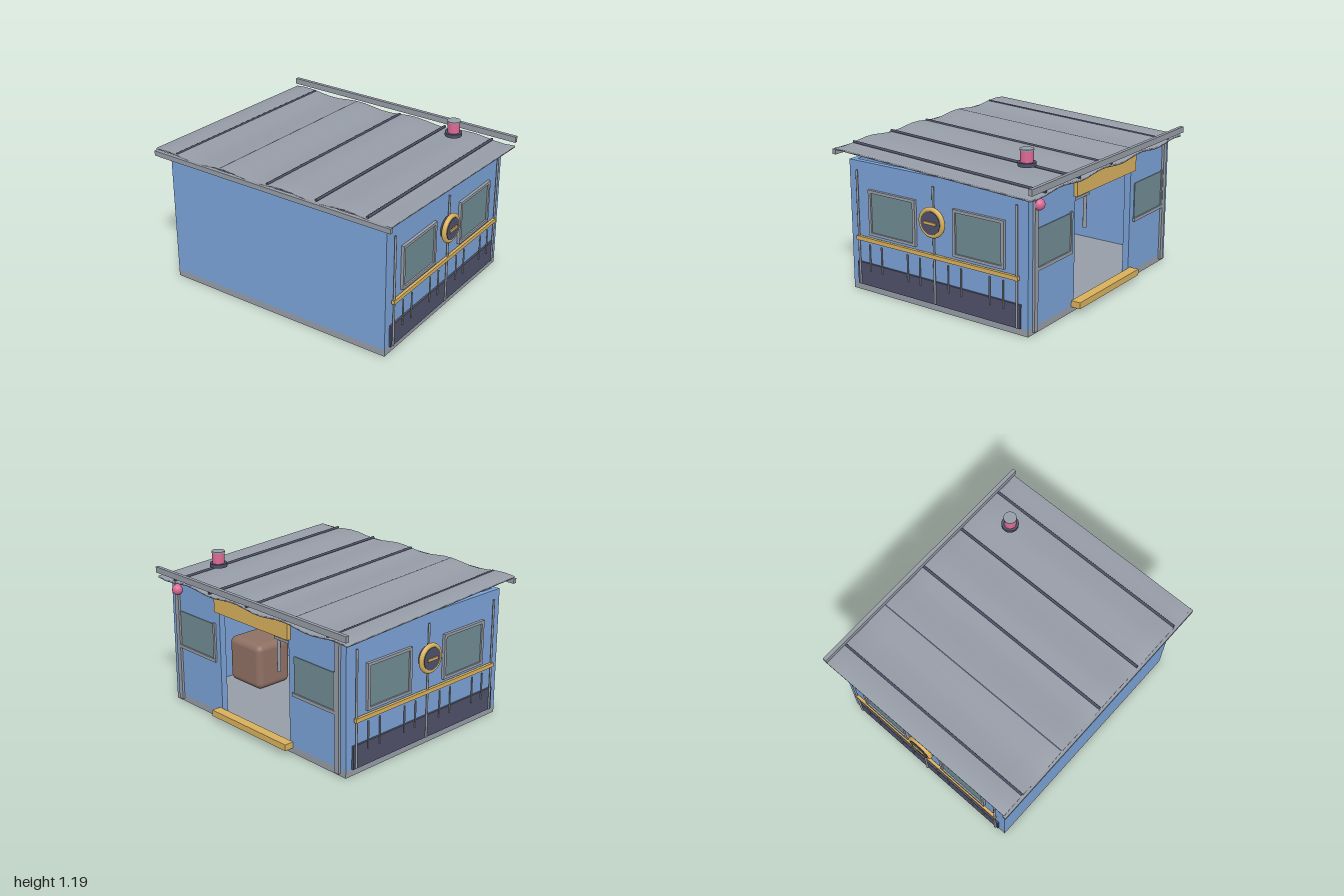
import * as THREE from 'three';
import { mergeVertices } from 'three/addons/utils/BufferGeometryUtils.js';
import { RoundedBoxGeometry } from 'three/addons/geometries/RoundedBoxGeometry.js';

const mat = (color) => new THREE.MeshStandardMaterial({ color });
const blue = mat(0x7aa2d6), grey = mat(0x969ca6), dark = mat(0x4e5068), gold = mat(0xd8b05c);
const pink = mat(0xdc6a94), glass = mat(0x6f8a93), brown = mat(0x8f7063);

function add(parent, name, geometry, material, x = 0, y = 0, z = 0) {
  const mesh = new THREE.Mesh(geometry, material);
  mesh.name = name;
  mesh.position.set(x, y, z);
  parent.add(mesh);
  return mesh;
}

// Box given by its limits on each axis
function box(parent, name, material, [x0, x1], [y0, y1], [z0, z1]) {
  const geometry = new THREE.BoxGeometry(x1 - x0, y1 - y0, z1 - z0);
  return add(parent, name, geometry, material, (x0 + x1) / 2, (y0 + y1) / 2, (z0 + z1) / 2);
}

function rod(parent, name, material, r, y0, y1, x, z) {
  return add(parent, name, new THREE.CylinderGeometry(r, r, y1 - y0, 10), material, x, (y0 + y1) / 2, z);
}

// Sloping roof surface with shallow waves across the width
const roofY = (x, z) => 1.014 + 0.048 * z + 0.011 * Math.cos((x - 0.13) * 12.3);

function buildRoof() {
  const roof = new THREE.Group();
  roof.name = 'roof';
  let sheet = new THREE.BoxGeometry(1.99, 0.014, 1.67, 24, 1, 12);
  const p = sheet.attributes.position;
  for (let i = 0; i < p.count; i++) p.setY(i, p.getY(i) + roofY(p.getX(i), p.getZ(i)));
  sheet.deleteAttribute('normal');
  sheet.deleteAttribute('uv');
  sheet = mergeVertices(sheet);
  sheet.computeVertexNormals();
  add(roof, 'roofSheet', sheet, grey);
  // Seams running down the slope
  for (let i = -2; i <= 2; i++) {
    const x = i * 0.404;
    const seam = add(roof, 'roofSeam', new THREE.CylinderGeometry(0.01, 0.01, 1.66, 8), dark, x, 1.023, 0);
    seam.rotation.x = Math.PI / 2 - Math.atan(0.048);
  }
  box(roof, 'frontGutter', grey, [-1, 1], [1.01, 1.047], [0.825, 0.853]);
  box(roof, 'backGutter', grey, [-1, 1], [1.005, 1.05], [-0.853, -0.825]);
  // Beacon lamp
  const beacon = new THREE.Group();
  beacon.name = 'beacon';
  beacon.position.set(0.632, 0, -0.555);
  const disc = (name, m, r, y0, y1) =>
    add(beacon, name, new THREE.CylinderGeometry(r, r, y1 - y0, 32), m, 0, (y0 + y1) / 2, 0);
  disc('beaconBase', dark, 0.063, 1.073, 1.1);
  disc('beaconLamp', pink, 0.045, 1.1, 1.178);
  disc('beaconCap', grey, 0.048, 1.178, 1.19);
  roof.add(beacon);
  return roof;
}

// Fittings of one long side, built facing +x
function buildSide() {
  const side = new THREE.Group();
  for (const s of [-1, 1]) {
    const frame = new THREE.Shape();
    frame.moveTo(-0.212, -0.168).lineTo(0.212, -0.168).lineTo(0.212, 0.168).lineTo(-0.212, 0.168);
    const hole = new THREE.Path();
    hole.moveTo(-0.19, -0.147).lineTo(-0.19, 0.147).lineTo(0.19, 0.147).lineTo(0.19, -0.147);
    frame.holes.push(hole);
    const geometry = new THREE.ExtrudeGeometry(frame, { depth: 0.022, bevelEnabled: false });
    geometry.rotateY(Math.PI / 2);
    add(side, 'windowFrame', geometry, grey, 0.92, 0.61, s * 0.376);
    box(side, 'windowPane', glass, [0.915, 0.93], [0.46, 0.76], [s * 0.376 - 0.192, s * 0.376 + 0.192]);
  }
  box(side, 'kickPanel', dark, [0.915, 0.935], [0.05, 0.22], [-0.715, 0.715]);
  for (const z of [-0.69, 0, 0.69]) rod(side, 'railPost', grey, 0.008, 0.055, 0.905, 0.938, z);
  for (const z of [0.125, 0.235, 0.475, 0.585])
    for (const s of [-1, 1]) rod(side, 'baluster', grey, 0.006, 0.17, 0.37, 0.944, s * z);
  box(side, 'handRail', gold, [0.928, 0.95], [0.39, 0.42], [-0.705, 0.705]);
  // Round medallion with a plain slot bar
  const ring = add(side, 'medallionRing', new THREE.TorusGeometry(0.092, 0.018, 12, 40), gold, 0.956, 0.655, 0);
  ring.rotation.y = Math.PI / 2;
  const disc = add(side, 'medallionDisc', new THREE.CylinderGeometry(0.083, 0.083, 0.055, 40), dark, 0.948, 0.655, 0);
  disc.rotation.z = -Math.PI / 2;
  box(side, 'medallionBar', gold, [0.97, 0.984], [0.645, 0.665], [-0.052, 0.052]);
  return side;
}

// Wall with doorway, windows, pipes and lintel
function buildBack() {
  const back = new THREE.Group();
  back.name = 'backFittings';
  for (const s of [-1, 1]) {
    const c = s * 0.625;
    box(back, 'backWall', blue, s > 0 ? [0.37, 0.92] : [-0.92, -0.37], [0.05, 0.97], [-0.77, -0.72]);
    box(back, 'backPane', glass, [c - 0.2, c + 0.2], [0.45, 0.73], [-0.776, -0.765]);
    box(back, 'backSill', grey, [c - 0.21, c + 0.21], [0.44, 0.465], [-0.787, -0.765]);
    box(back, 'backWindowBar', grey, [c - 0.21, c - 0.19], [0.44, 0.74], [-0.785, -0.765]);
    box(back, 'downPipe', grey, [s * 0.85 - 0.02, s * 0.85 + 0.02], [0.02, 0.95], [-0.788, -0.765]);
  }
  box(back, 'doorHeader', blue, [-0.37, 0.37], [0.87, 0.965], [-0.768, -0.72]);
  box(back, 'lintel', gold, [-0.39, 0.39], [0.84, 0.969], [-0.8, -0.768]);
  box(back, 'doorStep', gold, [-0.4, 0.4], [0.04, 0.087], [-0.842, -0.77]);
  add(back, 'signalLamp', new THREE.SphereGeometry(0.04, 24, 16), pink, 0.83, 0.9, -0.79);
  return back;
}

export function createModel() {
  const model = new THREE.Group();
  model.name = 'cabin';
  box(model, 'floor', grey, [-0.92, 0.92], [0, 0.05], [-0.77, 0.77]);
  box(model, 'frontWall', blue, [-0.92, 0.92], [0.05, 0.97], [0.73, 0.77]);
  box(model, 'leftWall', blue, [0.88, 0.92], [0.05, 0.97], [-0.77, 0.73]);
  box(model, 'rightWall', blue, [-0.92, -0.88], [0.05, 0.97], [-0.77, 0.73]);

  const left = buildSide();
  left.name = 'leftFittings';
  const right = buildSide();
  right.name = 'rightFittings';
  right.rotation.y = Math.PI;
  model.add(left, right, buildBack(), buildRoof());

  // Interior: padded cabinet and hanging poles
  add(model, 'cabinet', new RoundedBoxGeometry(0.36, 0.36, 0.32, 4, 0.05), brown, 0.66, 0.23, -0.16);
  for (const x of [0.03, -0.17])
    for (const z of [-0.51, -0.35]) rod(model, 'hangingPole', grey, 0.014, 0.41, 0.9, x, z);
  box(model, 'hangingBar', grey, [-0.2, 0.06], [0.66, 0.68], [-0.53, -0.33]);
  return model;
}
